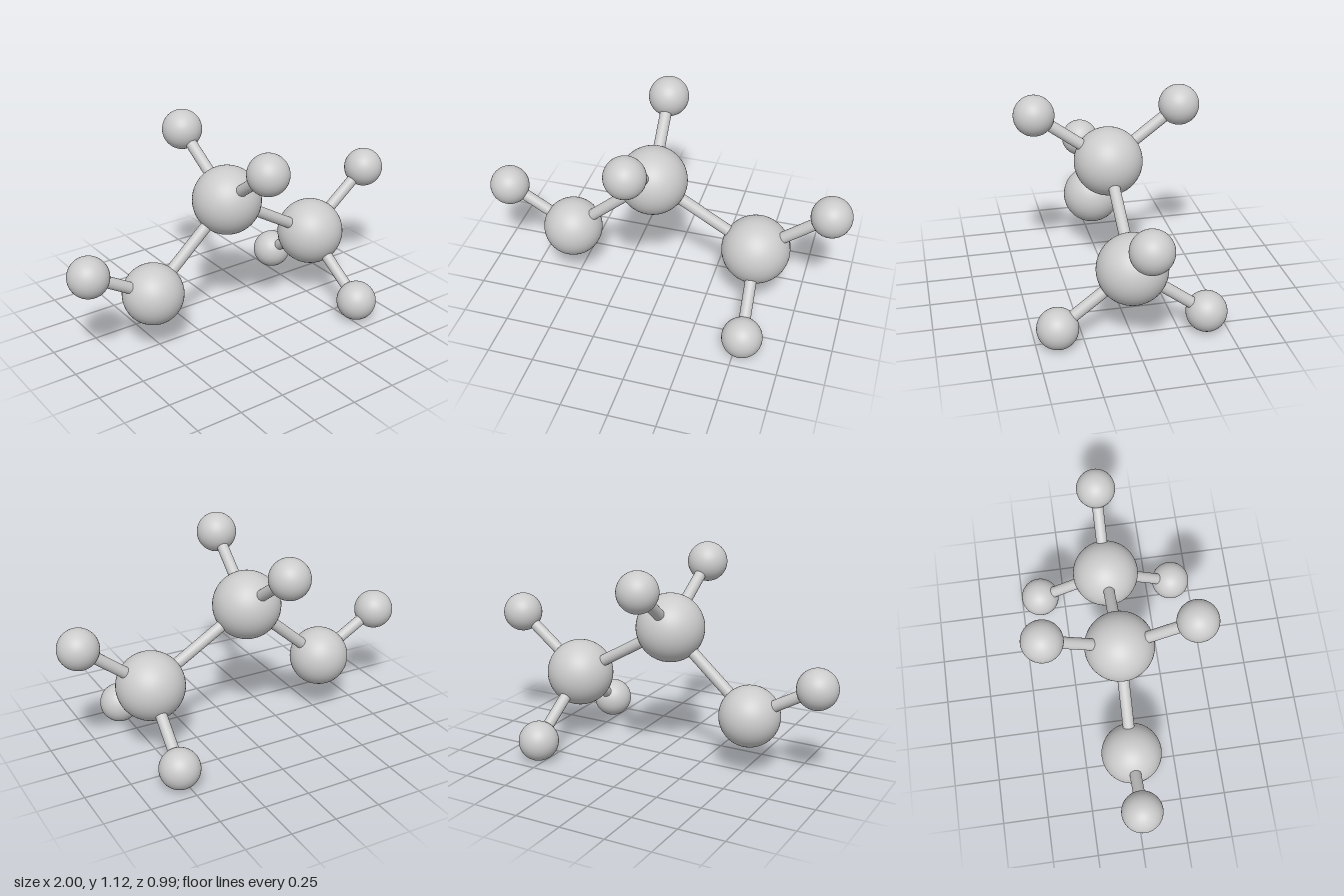
import * as THREE from 'three';

const material = new THREE.MeshStandardMaterial({ color: 0xcccccc });
const LARGE = 0.184, MEDIUM = 0.163, SMALL = 0.108, ROD = 0.031;

// Balls: centre and radius
const balls = {
  upperCentre: [-0.06, 0.732, 0, LARGE],
  lowerCentre: [0.512, 0.391, 0, LARGE],
  sideCentre: [-0.528, 0.318, 0, MEDIUM],
  rightTip: [-0.892, 0.529, 0, SMALL],
  leftTip: [0.892, 0.692, 0, SMALL],
  upperFrontTip: [-0.084, 1.014, 0.389, SMALL],
  upperBackTip: [-0.084, 1.014, -0.389, SMALL],
  lowerFrontTip: [0.538, 0.109, 0.389, SMALL],
  lowerBackTip: [0.538, 0.109, -0.389, SMALL],
};

// Rods: pairs of joined balls
const rods = [
  ['upperCentre', 'lowerCentre'],
  ['upperCentre', 'sideCentre'],
  ['sideCentre', 'rightTip'],
  ['lowerCentre', 'leftTip'],
  ['upperCentre', 'upperFrontTip'],
  ['upperCentre', 'upperBackTip'],
  ['lowerCentre', 'lowerFrontTip'],
  ['lowerCentre', 'lowerBackTip'],
];

const centreOf = (name) => new THREE.Vector3(...balls[name].slice(0, 3));

function makeBall(name) {
  const mesh = new THREE.Mesh(new THREE.SphereGeometry(balls[name][3], 48, 32), material);
  mesh.name = name + 'Ball';
  mesh.position.copy(centreOf(name));
  return mesh;
}

// Cylinder running from the centre of one ball to the centre of another
function makeRod([from, to]) {
  const a = centreOf(from), b = centreOf(to);
  const along = b.clone().sub(a);
  const mesh = new THREE.Mesh(new THREE.CylinderGeometry(ROD, ROD, along.length(), 24), material);
  mesh.name = `${from}To${to[0].toUpperCase()}${to.slice(1)}Rod`;
  mesh.position.copy(a).add(b).multiplyScalar(0.5);
  mesh.quaternion.setFromUnitVectors(new THREE.Vector3(0, 1, 0), along.normalize());
  return mesh;
}

export function createModel() {
  const model = new THREE.Group();
  model.name = 'ballAndStickMolecule';
  for (const name of Object.keys(balls)) model.add(makeBall(name));
  for (const pair of rods) model.add(makeRod(pair));
  return model;
}
